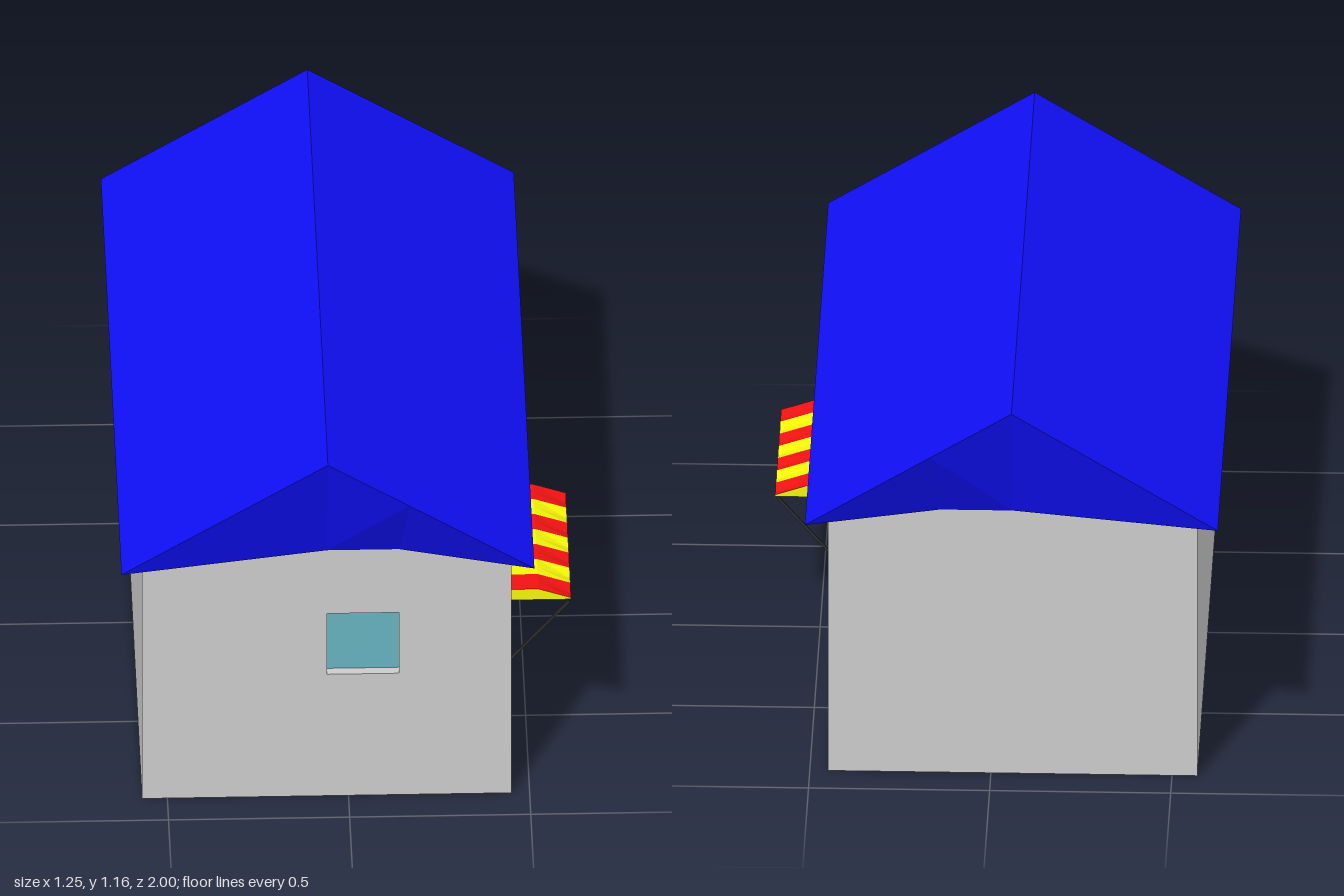
import * as THREE from 'three';

const mat = (color, side = THREE.FrontSide) =>
  new THREE.MeshStandardMaterial({ color, side, flatShading: true });
const GREY = mat(0xcccccc);
const BLUE = mat(0x0f0ff5);
const GLASS = mat(0x66b2bf);
const DARK = mat(0x303030);
const RED = mat(0xf01212);
const YELLOW = mat(0xf5f50a);

// Flat-faced geometry from convex polygons (counter-clockwise from outside)
function fromPolygons(polys) {
  const pos = [];
  for (const p of polys)
    for (let i = 1; i < p.length - 1; i++) pos.push(...p[0], ...p[i], ...p[i + 1]);
  const g = new THREE.BufferGeometry();
  g.setAttribute('position', new THREE.Float32BufferAttribute(pos, 3));
  g.computeVertexNormals();
  return g;
}

export function createModel() {
  const root = new THREE.Group();
  const add = (name, geo, material, parent = root) => {
    const m = new THREE.Mesh(geo, material);
    m.name = name;
    parent.add(m);
    return m;
  };
  // Box given by its minimum and maximum corners
  const box = (name, a, b, material, parent) => {
    const g = new THREE.BoxGeometry(b[0] - a[0], b[1] - a[1], b[2] - a[2]);
    g.translate((a[0] + b[0]) / 2, (a[1] + b[1]) / 2, (a[2] + b[2]) / 2);
    return add(name, g, material, parent);
  };
  const rect = (path, u0, v0, u1, v1) =>
    path.moveTo(u0, v0).lineTo(u1, v0).lineTo(u1, v1).lineTo(u0, v1).closePath();
  // Wall slab with rectangular openings [u0, v0, u1, v1]
  const wall = (u0, u1, depth, holes) => {
    const s = new THREE.Shape();
    rect(s, u0, 0, u1, 0.81);
    s.holes = holes.map(h => {
      const p = new THREE.Path();
      rect(p, ...h);
      return p;
    });
    return new THREE.ExtrudeGeometry(s, { depth, bevelEnabled: false });
  };

  // Walls: solid core, front slab with a window, side slab with shop window and door
  box('buildingCore', [-0.57, 0, -0.89], [0.35, 0.81, 0.83], GREY);
  add('frontWall', wall(-0.57, 0.35, 0.06, [[-0.06, 0.4, 0.14, 0.6]]).translate(0, 0, 0.83), GREY);
  add('shopWall', wall(-0.89, 0.89, 0.1,
    [[-0.53, 0.11, -0.01, 0.4], [0.31, 0.003, 0.535, 0.305]])
    .rotateY(Math.PI / 2).translate(0.35, 0, 0), GREY);

  // Recessed glazing
  box('frontWindow', [-0.06, 0.4, 0.84], [0.14, 0.6, 0.86], GLASS);
  box('shopWindow', [0.36, 0.11, 0.01], [0.4, 0.4, 0.53], GLASS);
  box('door', [0.355, 0.003, -0.535], [0.37, 0.305, -0.31], GLASS);
  box('doorRail', [0.365, 0.1, -0.535], [0.375, 0.112, -0.31], mat(0x3a6a72));

  // Roof: straight slopes, gable ends folded back to the wall plane
  const L = z => [-0.63, 0.81, z], C = z => [0.51, 0.81, z], A = z => [-0.06, 1.16, z];
  const R = z => [0.165, 1.022, z], Q = z => [-0.06, 0.81, z * 0.892], P = z => [0.14, 0.81, z * 0.892];
  const gable = z => [[L(z), Q(z), A(z)], [Q(z), P(z), R(z)], [Q(z), R(z), A(z)], [P(z), C(z), R(z)]];
  add('roof', fromPolygons([
    [L(1), A(1), A(-1), L(-1)],
    [C(1), C(-1), A(-1), A(1)],
    ...gable(1),
    ...gable(-1).map(p => p.reverse()),
    ...[[L, Q], [Q, P], [P, C]].map(([a, b]) => [a(1), a(-1), b(-1), b(1)]),
  ]), BLUE);

  // Awning: seven stripes, each with a slightly drooping middle
  const awning = new THREE.Group();
  awning.name = 'awning';
  root.add(awning);
  const stripe = 0.53 / 7;
  const top = droop => [[0.45, 0.435], [0.535, 0.435], [0.625, droop ? 0.395 : 0.405]];
  const under = droop => [[0.45, 0.4], [0.625, droop ? 0.388 : 0.4]];
  const strip = (profile, z0, z1, d0, d1) => {
    const a = profile(d0), b = profile(d1), polys = [];
    for (let i = 0; i < a.length - 1; i++)
      polys.push([[...a[i], z0], [...b[i], z1], [...b[i + 1], z1], [...a[i + 1], z0]]);
    return polys;
  };
  for (let i = 0; i < 7; i++) {
    const z0 = i * stripe, zm = z0 + stripe / 2, z1 = z0 + stripe;
    const both = p => [...strip(p, z0, zm, false, true), ...strip(p, zm, z1, true, false)];
    const lip = d => [[0.625, d ? 0.395 : 0.405], [0.625, d ? 0.388 : 0.4]];
    add('awningStripe', fromPolygons([...both(top), ...both(lip)]), i % 2 ? YELLOW : RED, awning);
    add('awningUnderside', fromPolygons(both(under).map(p => p.reverse())), DARK, awning);
  }
  for (const z of [0, 0.53]) {
    const cap = [[0.45, 0.4, z], [0.625, 0.4, z], [0.625, 0.405, z], [0.535, 0.435, z], [0.45, 0.435, z]];
    add('awningEnd', fromPolygons([z ? cap : cap.reverse()]), YELLOW, awning);
  }

  // Awning frame: head bar, uprights and diagonal braces
  box('headBar', [0.45, 0.385, 0.01], [0.458, 0.4, 0.53], DARK, awning);
  for (const z of [0.014, 0.526]) {
    box('upright', [0.448, 0.11, z - 0.007], [0.458, 0.4, z + 0.007], DARK, awning);
    const dx = 0.165, dy = 0.19;
    const brace = add('brace', new THREE.BoxGeometry(0.007, Math.hypot(dx, dy), 0.007), DARK, awning);
    brace.position.set(0.455 + dx / 2, 0.203 + dy / 2, z);
    brace.rotation.z = -Math.atan2(dx, dy);
  }
  return root;
}
